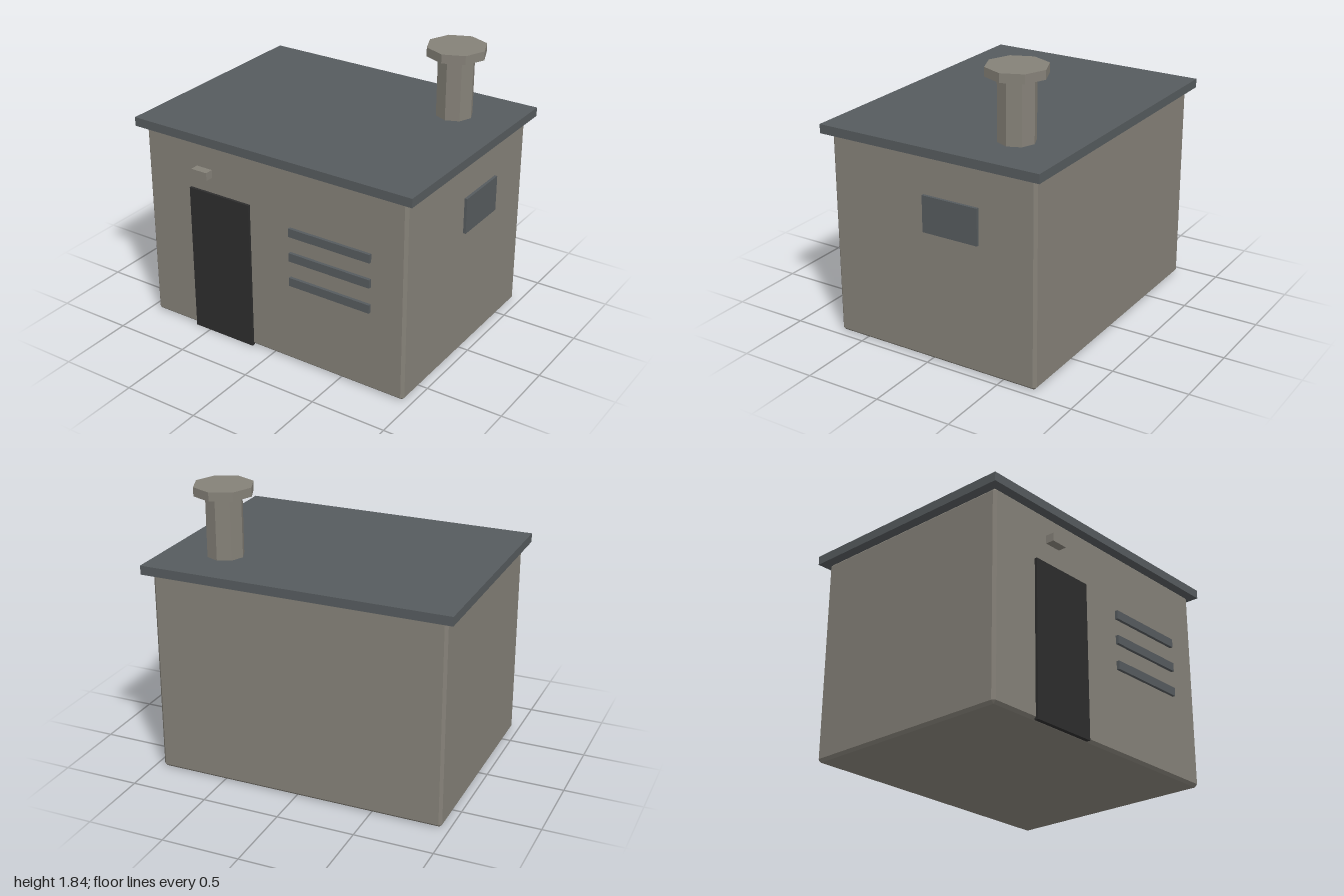
import * as THREE from 'three';
import { ConvexGeometry } from 'three/addons/geometries/ConvexGeometry.js';

const material = (name, color) => {
  const m = new THREE.MeshStandardMaterial({ color });
  m.name = name;
  return m;
};

// Box with a small flat chamfer along every edge
function chamferedBox(w, h, d, c) {
  const points = [];
  for (const x of [-1, 1]) for (const y of [-1, 1]) for (const z of [-1, 1]) {
    const [X, Y, Z] = [w / 2, h / 2, d / 2];
    points.push(
      new THREE.Vector3(x * X, y * (Y - c), z * (Z - c)),
      new THREE.Vector3(x * (X - c), y * Y, z * (Z - c)),
      new THREE.Vector3(x * (X - c), y * (Y - c), z * Z)
    );
  }
  return new ConvexGeometry(points);
}

export function createModel() {
  const model = new THREE.Group();
  model.name = 'hut';
  const concrete = material('concrete', 0x858178);
  const slate = material('slate', 0x565b5e);
  const black = material('black', 0x2d2d2d);

  const add = (name, geometry, mat, x, y, z) => {
    const mesh = new THREE.Mesh(geometry, mat);
    mesh.name = name;
    mesh.position.set(x, y, z);
    model.add(mesh);
  };
  // Box given by its extents on each axis
  const block = (name, mat, [x0, x1], [y0, y1], [z0, z1]) =>
    add(name, new THREE.BoxGeometry(x1 - x0, y1 - y0, z1 - z0), mat,
      (x0 + x1) / 2, (y0 + y1) / 2, (z0 + z1) / 2);
  // Faceted octagonal prism
  const octagon = (name, r, y0, y1) => {
    const g = new THREE.CylinderGeometry(r, r, y1 - y0, 8).toNonIndexed();
    g.computeVertexNormals();
    add(name, g, concrete, 0.617, (y0 + y1) / 2, -0.4);
  };

  // Walls and overhanging flat roof
  add('walls', chamferedBox(1.898, 1.33, 1.43, 0.018), concrete, -0.002, 0.665, -0.015);
  block('roof', slate, [-1, 1], [1.33, 1.388], [-0.78, 0.745]);

  // Front details
  block('door', black, [-0.61, -0.157], [0, 1], [0.69, 0.717]);
  block('doorLamp', concrete, [-0.535, -0.42], [1.12, 1.172], [0.725, 0.78]);
  for (const y of [0.57, 0.74, 0.907])
    block('ventSlat', slate, [0.14, 0.713], [y - 0.028, y + 0.028], [0.69, 0.72]);

  // Side window
  block('window', slate, [0.93, 0.965], [0.84, 1.075], [-0.347, 0.035]);

  // Chimney
  octagon('chimneyPipe', 0.118, 1.38, 1.79);
  octagon('chimneyCap', 0.19, 1.785, 1.842);

  return model;
}
